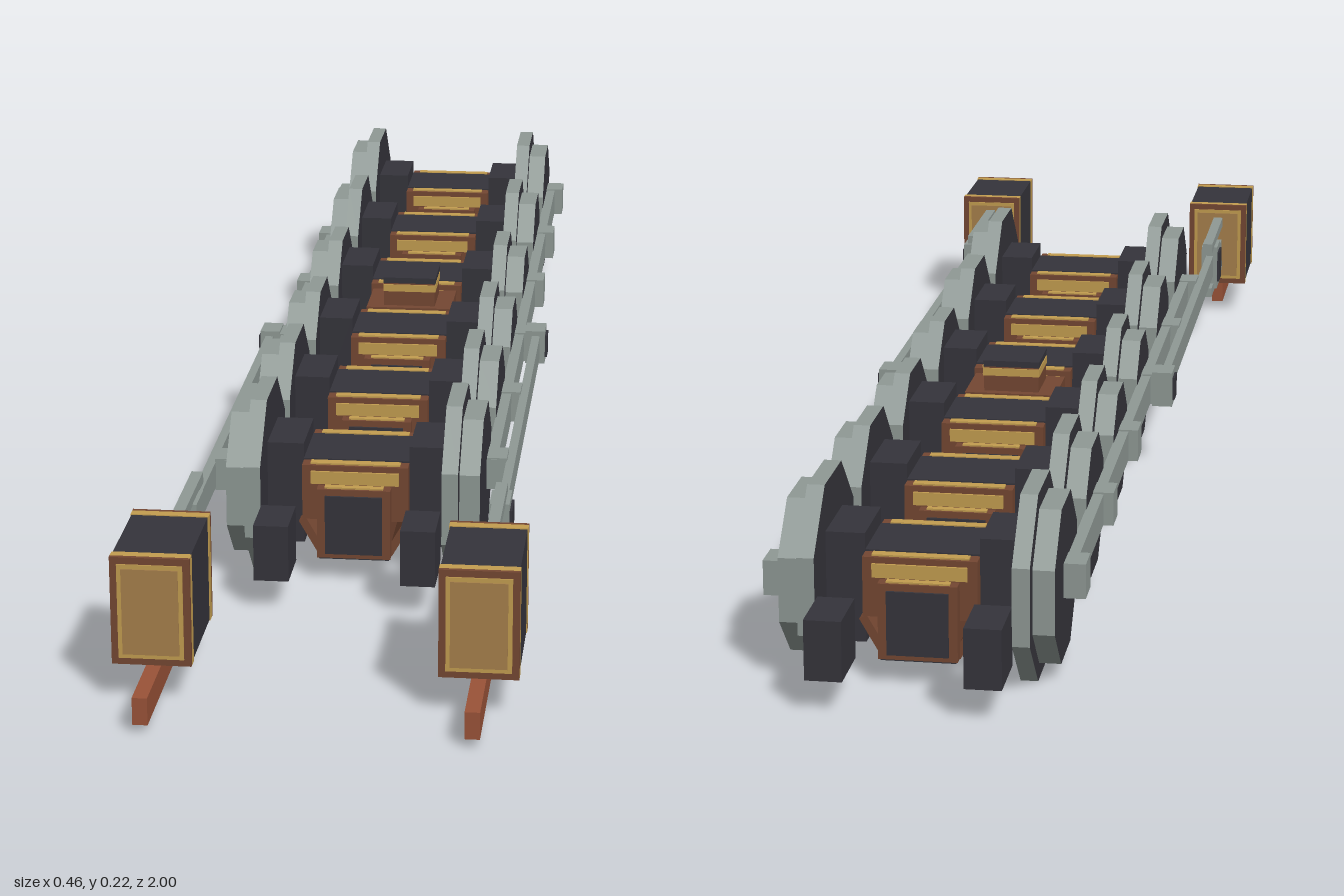
import * as THREE from 'three';

const mat = (name, color) => {
  const m = new THREE.MeshStandardMaterial({ color });
  m.name = name;
  return m;
};

export function createModel() {
  const steel = mat('steel grey', 0x8f9995);
  const dark = mat('dark iron', 0x35343b);
  const brown = mat('dark copper', 0x744732);
  const gold = mat('brass', 0xc39d50);
  const tan = mat('worn brass', 0xa67f4b);
  const rust = mat('rust copper', 0x9a5338);

  const model = new THREE.Group();
  model.name = 'runningGear';

  const group = (name, parent = model) => {
    const g = new THREE.Group();
    g.name = name;
    parent.add(g);
    return g;
  };
  // Box given by its lower and upper limits on each axis
  const box = (parent, name, m, [x0, x1], [y0, y1], [z0, z1]) => {
    const mesh = new THREE.Mesh(new THREE.BoxGeometry(Math.abs(x1 - x0), y1 - y0, z1 - z0), m);
    mesh.position.set((x0 + x1) / 2, (y0 + y1) / 2, (z0 + z1) / 2);
    mesh.name = name;
    parent.add(mesh);
    return mesh;
  };
  // Eight-sided disc with flat top, lying along x
  const disc = (parent, name, apothem, x0, x1) => {
    const r = apothem / Math.cos(Math.PI / 8);
    const geo = new THREE.CylinderGeometry(r, r, Math.abs(x1 - x0), 8).toNonIndexed();
    geo.rotateY(Math.PI / 8).rotateZ(Math.PI / 2);
    geo.computeVertexNormals();
    const mesh = new THREE.Mesh(geo, [steel, dark, dark]);
    mesh.position.x = (x0 + x1) / 2;
    mesh.name = name;
    parent.add(mesh);
  };

  const axleY = 0.11;
  const axles = [0.459, 0.203, -0.054, -0.311, -0.568, -0.825];
  const radii = [0.11, 0.1, 0.09, 0.09, 0.1, 0.11];

  axles.forEach((z, i) => {
    // Wheels: wide flange inside, narrower tread outside
    for (const s of [1, -1]) {
      const wheel = group(s > 0 ? 'leftWheel' : 'rightWheel');
      wheel.position.set(0, axleY, z);
      disc(wheel, 'flange', radii[i], s * 0.11, s * 0.13);
      disc(wheel, 'tread', radii[i] - 0.019, s * 0.13, s * 0.155);
    }

    // Axle with bearing blocks and a central gear housing
    const axle = group('axleUnit');
    axle.position.z = z;
    for (const s of [1, -1]) {
      box(axle, 'bearingBlock', dark, [s * 0.065, s * 0.11], [0.037, 0.166], [-0.047, 0.047]);
      const strut = box(axle, 'strut', brown, [-0.005, 0.005], [-0.024, 0.024], [-0.066, 0.066]);
      strut.position.set(s * 0.053, 0.053, 0);
      strut.rotation.z = -s * 0.52;
    }
    box(axle, 'upperHousing', brown, [-0.065, 0.065], [0.075, 0.145], [-0.066, 0.066]);
    box(axle, 'housingTop', dark, [-0.065, 0.065], [0.144, 0.147], [-0.046, 0.046]);
    box(axle, 'lowerHousing', brown, [-0.045, 0.045], [0.031, 0.12], [-0.082, 0.082]);
    box(axle, 'housingBottom', dark, [-0.043, 0.043], [0.029, 0.032], [-0.08, 0.08]);
    for (const s of [1, -1]) {
      const span = (a, b) => (s > 0 ? [a, b] : [-b, -a]);
      box(axle, 'facePanel', dark, [-0.035, 0.035], [0.037, 0.112], span(0.081, 0.085));
      box(axle, 'faceBand', gold, [-0.054, 0.054], [0.122, 0.138], span(0.065, 0.069));
      box(axle, 'topBand', gold, [-0.055, 0.055], [0.144, 0.147], span(0.05, 0.062));
      box(axle, 'lowerTopBand', gold, [-0.036, 0.036], [0.119, 0.122], span(0.07, 0.079));
    }
  });

  // Central unit between the two middle axles
  const centre = group('centreUnit');
  centre.position.z = -0.183;
  box(centre, 'keel', dark, [-0.045, 0.045], [0.03, 0.075], [-0.05, 0.05]);
  box(centre, 'base', brown, [-0.06, 0.06], [0.07, 0.143], [-0.045, 0.045]);
  box(centre, 'tower', brown, [-0.036, 0.036], [0.14, 0.176], [-0.034, 0.034]);
  box(centre, 'towerBand', gold, [-0.037, 0.037], [0.164, 0.174], [-0.036, 0.036]);
  box(centre, 'towerTop', dark, [-0.037, 0.037], [0.176, 0.184], [-0.035, 0.035]);

  for (const s of [1, -1]) {
    const side = s > 0 ? 'left' : 'right';
    const xs = (a, b) => [s * a, s * b];
    const shift = s > 0 ? -0.038 : 0;

    // Frame ends
    box(model, side + 'FrontFrameEnd', dark, xs(0.067, 0.109), [0.038, 0.108], [0.57, 0.64]);
    box(model, side + 'BackFrameEnd', dark, xs(0.067, 0.109), [0.038, 0.108], [-1, -0.925]);

    // Coupling rod with a boss at every axle
    const rods = group(side + 'Rods');
    box(rods, 'couplingRod', steel, xs(0.154, 0.168), [0.092, 0.13], [-0.845 + shift, 0.48 + shift]);
    for (const z of axles) {
      box(rods, 'rodBoss', steel, xs(0.152, 0.18), [0.091, 0.132], [z + shift - 0.02, z + shift + 0.02]);
    }

    // Main rod, big end and crosshead
    const pin = axles[2] + shift;
    const cross = 0.641 + shift;
    box(rods, 'mainRod', steel, xs(0.179, 0.19), [0.095, 0.128], [pin, cross]);
    box(rods, 'bigEnd', steel, xs(0.17, 0.197), [0.088, 0.135], [pin - 0.02, pin + 0.02]);
    box(rods, 'bigEndCap', dark, xs(0.196, 0.2), [0.096, 0.127], [pin - 0.014, pin + 0.014]);
    box(rods, 'crosshead', steel, xs(0.172, 0.196), [0.076, 0.142], [cross - 0.025, cross + 0.025]);
    box(rods, 'crossheadPlate', dark, xs(0.195, 0.199), [0.086, 0.132], [cross - 0.02, cross + 0.02]);
    box(rods, 'pistonRod', steel, xs(0.178, 0.19), [0.103, 0.118], [cross, 0.78]);
    for (const y of [0.07, 0.14]) {
      box(rods, 'guideBar', steel, xs(0.177, 0.191), [y, y + 0.014], [0.585, 0.78]);
    }

    // Steam cylinder with brass bands and framed end panels
    const cyl = group(side + 'Cylinder');
    cyl.position.set(s * 0.183, 0.11, 0.844);
    box(cyl, 'cylinderBody', dark, [-0.044, 0.044], [-0.063, 0.063], [-0.074, 0.074]);
    for (const e of [1, -1]) {
      const span = (a, b) => (e > 0 ? [a, b] : [-b, -a]);
      box(cyl, 'band', gold, [-0.045, 0.045], [-0.064, 0.064], span(0.058, 0.07));
      box(cyl, 'endFrame', brown, [-0.045, 0.045], [-0.064, 0.064], span(0.07, 0.075));
      box(cyl, 'endTrim', gold, [-0.037, 0.037], [-0.056, 0.056], span(0.074, 0.0765));
      box(cyl, 'endPanel', tan, [-0.032, 0.032], [-0.051, 0.051], span(0.076, 0.078));
    }

    // Drain pipe below the cylinder
    box(model, side + 'DrainPipe', rust, xs(0.174, 0.191), [0.01, 0.042], [0.79, 1]);
    box(model, side + 'DrainMount', rust, xs(0.174, 0.191), [0.04, 0.05], [0.79, 0.9]);
  }

  return model;
}
